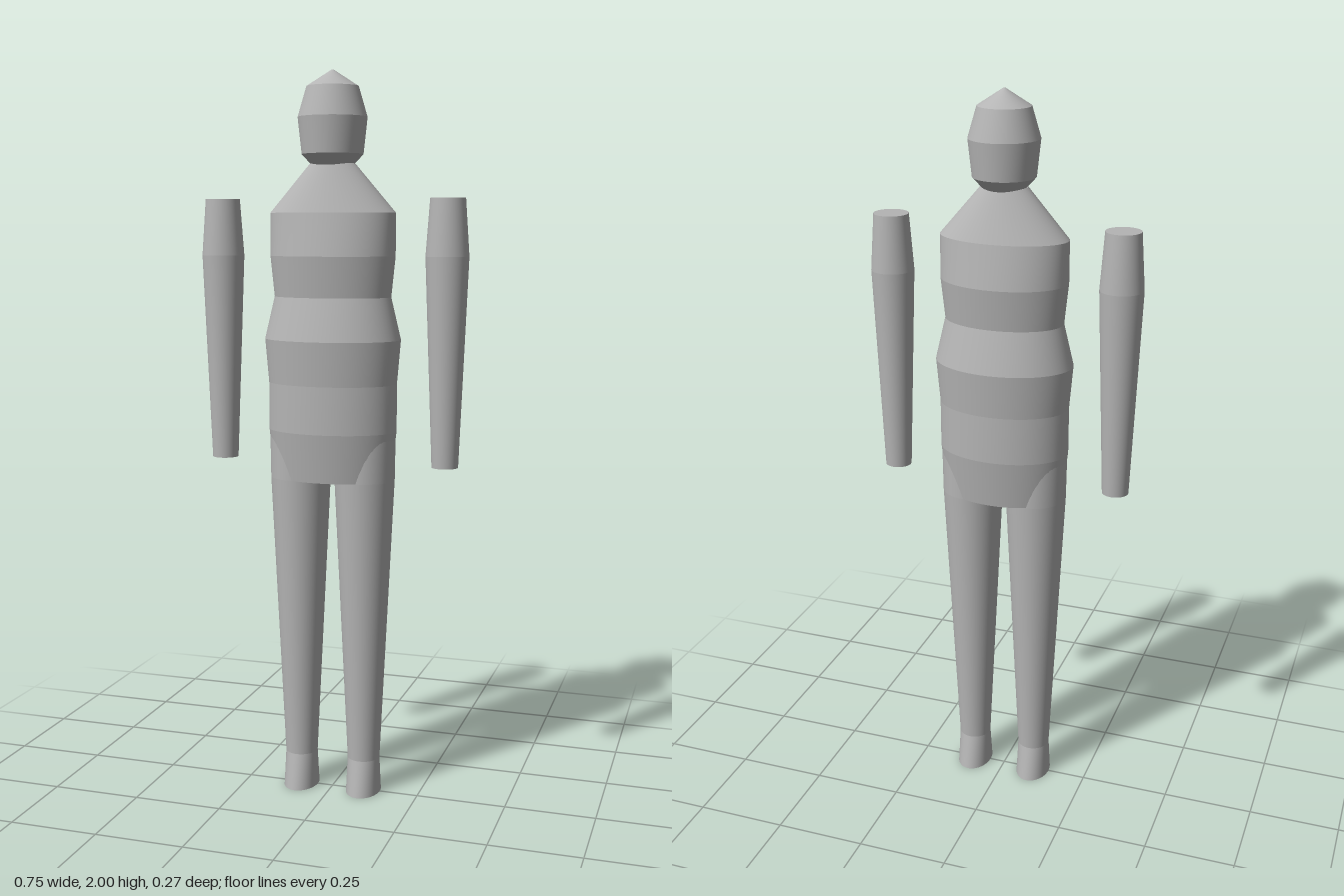
import * as THREE from 'three';
import { mergeGeometries } from 'three/addons/utils/BufferGeometryUtils.js';

const SEGMENTS = 64;

// One band between two elliptical rings [y, halfWidth, halfDepth], smooth around its girth
function band([y0, w0, d0], [y1, w1, d1]) {
  const position = [];
  const index = [];
  for (let i = 0; i < SEGMENTS; i++) {
    const a = (i / SEGMENTS) * Math.PI * 2;
    const s = Math.sin(a), c = Math.cos(a);
    position.push(w0 * s, y0, d0 * c, w1 * s, y1, d1 * c);
    const p = 2 * i, q = 2 * ((i + 1) % SEGMENTS);
    index.push(p, q, q + 1, p, q + 1, p + 1);
  }
  const geometry = new THREE.BufferGeometry();
  geometry.setAttribute('position', new THREE.Float32BufferAttribute(position, 3));
  geometry.setIndex(index);
  geometry.computeVertexNormals();
  return geometry;
}

// Flat elliptical end cap facing up or down
function cap([y, w, d], up) {
  const geometry = new THREE.CircleGeometry(1, SEGMENTS);
  geometry.rotateX(up ? -Math.PI / 2 : Math.PI / 2);
  geometry.scale(w, 1, d).translate(0, y, 0);
  geometry.deleteAttribute('uv');
  return geometry;
}

// Closed body through rings listed from bottom to top, with a crisp edge at each ring
function loft(rings) {
  const parts = [cap(rings[0], false), cap(rings[rings.length - 1], true)];
  for (let i = 0; i < rings.length - 1; i++) parts.push(band(rings[i], rings[i + 1]));
  return mergeGeometries(parts);
}

export function createModel() {
  const model = new THREE.Group();
  model.name = 'figure';
  const grey = new THREE.MeshStandardMaterial({ color: 0xb4b4b4 });
  grey.name = 'plain grey';

  function add(name, geometry, x = 0) {
    const mesh = new THREE.Mesh(geometry, grey);
    mesh.name = name;
    mesh.position.x = x;
    model.add(mesh);
  }

  // Torso from hips to neck
  add('torso', loft([
    [0.9, 0.165, 0.102],
    [1.035, 0.18, 0.122],
    [1.165, 0.18, 0.122],
    [1.285, 0.19, 0.133],
    [1.4, 0.163, 0.104],
    [1.51, 0.174, 0.118],
    [1.625, 0.175, 0.1],
    [1.755, 0.062, 0.053],
  ]));

  // Head with a tapered chin and pointed crown
  add('head', loft([
    [1.75, 0.055, 0.055],
    [1.78, 0.083, 0.083],
    [1.877, 0.0935, 0.0935],
    [1.957, 0.07, 0.07],
    [2.0, 0.003, 0.003],
  ]));

  const arm = loft([
    [0.945, 0.036, 0.036],
    [1.51, 0.058, 0.058],
    [1.663, 0.047, 0.047],
  ]);
  // Leg with a foot flaring forward and back
  const leg = loft([
    [0, 0.048, 0.069],
    [0.1, 0.045, 0.047],
    [0.9, 0.083, 0.085],
    [1.03, 0.085, 0.085],
  ]);
  for (const [side, sign] of [['left', 1], ['right', -1]]) {
    add(side + 'Arm', arm, sign * 0.318);
    add(side + 'Leg', leg, sign * 0.0925);
  }
  return model;
}
